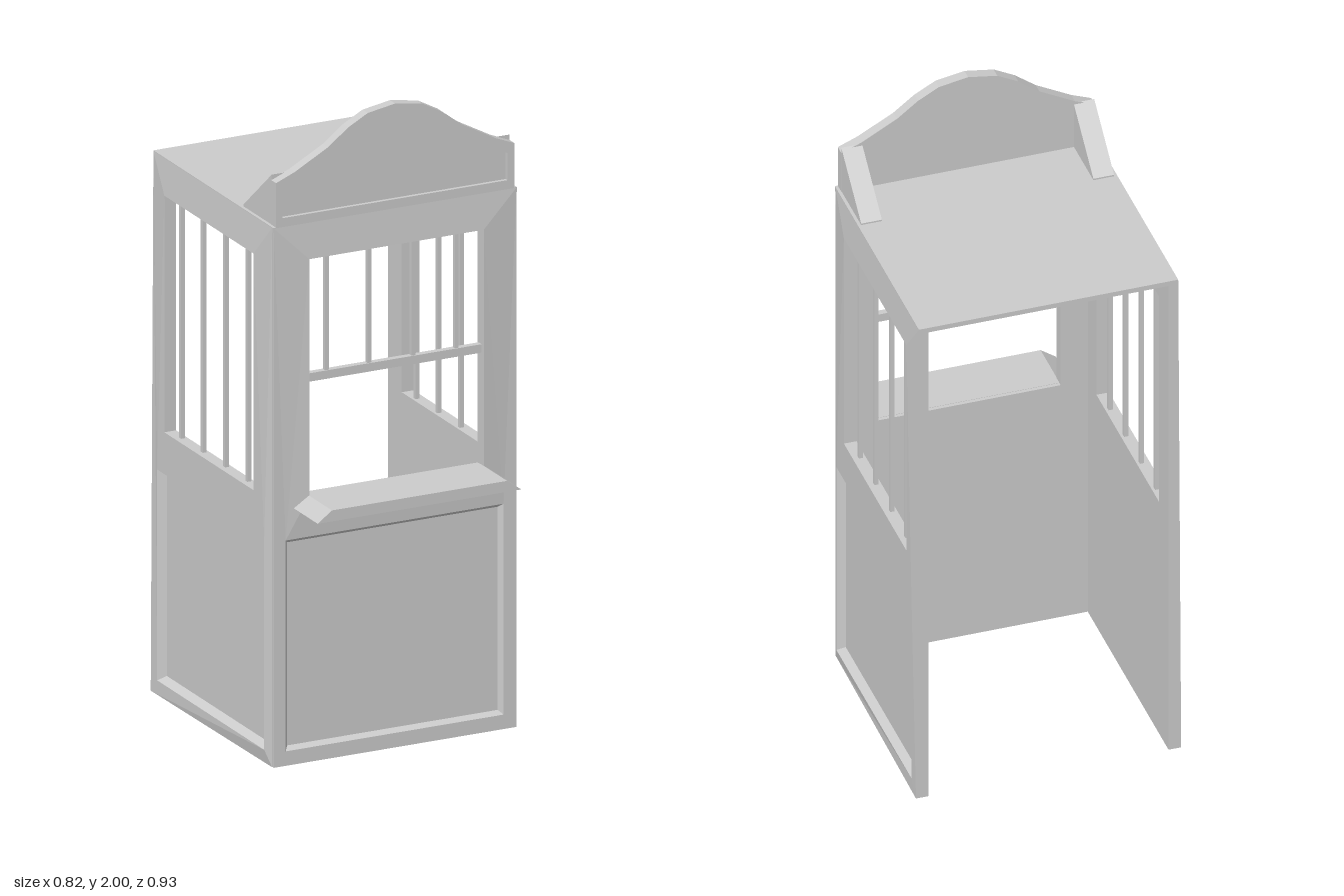
import * as THREE from 'three';

const material = new THREE.MeshStandardMaterial({ color: 0xcccccc, flatShading: true });
const T = 0.03; // wall thickness
const TOP = 1.675;
const WIN = [0.83, 1.565]; // window bottom and top
const PANEL = [0.045, 0.7]; // panel bottom and top

function add(parent, name, geometry, x = 0, y = 0, z = 0) {
  const mesh = new THREE.Mesh(geometry, material);
  mesh.name = name;
  mesh.position.set(x, y, z);
  parent.add(mesh);
  return mesh;
}

const box = (w, h, d) => new THREE.BoxGeometry(w, h, d);
const polygon = pts => pts.map(p => new THREE.Vector2(p[0], p[1]));
const rect = (x0, x1, y0, y1) => polygon([[x0, y0], [x1, y0], [x1, y1], [x0, y1]]);
const extrude = (shape, depth) => new THREE.ExtrudeGeometry(shape, { depth, bevelEnabled: false });

// A wall lying in x/y, outer face towards +z, with a window and a recessed panel.
// bulge(x, y) tells which outer corners swell outwards a little.
function makeWall(name, [x0, x1], [w0, w1], [p0, p1], bars, bulge) {
  const wall = new THREE.Group();
  wall.name = name;
  const shape = new THREE.Shape(rect(x0, x1, 0, TOP));
  shape.holes.push(new THREE.Path(rect(w0, w1, ...WIN)), new THREE.Path(rect(p0, p1, ...PANEL)));
  const g = extrude(shape, T);
  const pos = g.attributes.position;
  const near = (a, b) => Math.abs(a - b) < 1e-4;
  for (let i = 0; i < pos.count; i++) {
    const x = pos.getX(i), y = pos.getY(i), outer = pos.getZ(i) > T / 2;
    if (outer && bulge(x, y)) pos.setZ(i, T + 0.009);
    // slope the rim of the panel recess
    const rim = (near(x, p0) || near(x, p1)) && (near(y, PANEL[0]) || near(y, PANEL[1]));
    if (!outer && rim) {
      pos.setX(i, x + (near(x, p0) ? 0.024 : -0.024));
      pos.setY(i, y + (near(y, PANEL[0]) ? 0.024 : -0.024));
    }
  }
  g.computeVertexNormals();
  add(wall, name + 'Frame', g);
  add(wall, name + 'Panel', box(p1 - p0 - 0.022, PANEL[1] - PANEL[0] - 0.022, T * 0.5),
    (p0 + p1) / 2, (PANEL[0] + PANEL[1]) / 2, T * 0.25);
  for (const [bx, bottom] of bars)
    add(wall, 'windowBar', box(0.013, WIN[1] - bottom, 0.013), bx, (WIN[1] + bottom) / 2, T / 2);
  return wall;
}

export function createModel() {
  const booth = new THREE.Group();
  booth.name = 'ticketBooth';

  // Front wall with half-height bars
  const front = makeWall('frontWall', [-0.399, 0.399], [-0.287, 0.287], [-0.36, 0.357],
    [-0.22, -0.08, 0.065, 0.207].map(x => [x, 1.2]),
    (x, y) => Math.abs(x) < 0.3 && y > 0.75);
  front.position.z = 0.308 - T;
  add(front, 'windowCrossbar', box(0.575, 0.026, 0.02), 0, 1.192, T / 2);
  booth.add(front);

  // Side walls, with z running along the wall
  for (const s of [1, -1]) {
    const span = (a, b) => [-s * a, -s * b].sort((p, q) => p - q);
    const side = makeWall(s > 0 ? 'leftWall' : 'rightWall',
      span(-0.465, 0.3), span(-0.377, 0.198), span(-0.423, 0.267),
      [0.118, -0.025, -0.17, -0.31].map(z => [-s * z, WIN[0]]),
      (x, y) => -s * x < 0.28 && y < 1.6);
    side.rotation.y = s * Math.PI / 2;
    side.position.x = s * (0.401 - T);
    booth.add(side);
  }

  // Roof
  add(booth, 'roof', box(0.802, 0.016, 0.773), 0, TOP - 0.006, -0.0785);

  // Counter shelf with slanted ends
  const shelf = new THREE.Shape(polygon([[-0.335, 0.797], [0.335, 0.797], [0.288, 0.831], [-0.288, 0.831]]));
  add(booth, 'counterShelf', extrude(shelf, 0.175), 0, 0, 0.29);

  // Curved sign board: raised border around a recessed face
  const mirrored = half => polygon([...half, ...half.filter(p => p[0] > 0).reverse().map(p => [-p[0], p[1]])]);
  const outline = mirrored([[0.392, 1.675], [0.392, 1.815], [0.33, 1.84], [0.22, 1.9],
    [0.155, 1.95], [0.09, 1.985], [0, 2]]);
  const inset = mirrored([[0.37, 1.703], [0.37, 1.787], [0.31, 1.812], [0.2, 1.872],
    [0.135, 1.922], [0.075, 1.95], [0, 1.966]]);
  const border = new THREE.Shape(outline);
  border.holes.push(new THREE.Path(inset));
  add(booth, 'signBorder', extrude(border, 0.034), 0, 0, 0.274);
  add(booth, 'signFace', extrude(new THREE.Shape(inset), 0.022), 0, 0, 0.274);

  // Sloped braces behind the sign
  const brace = new THREE.Shape(polygon([[-0.278, 1.672], [-0.095, 1.672], [-0.095, 1.682], [-0.278, 1.832]]));
  for (const x of [0.327, -0.391])
    add(booth, 'signBrace', extrude(brace, 0.064), x, 0, 0).rotation.y = Math.PI / 2;

  return booth;
}
